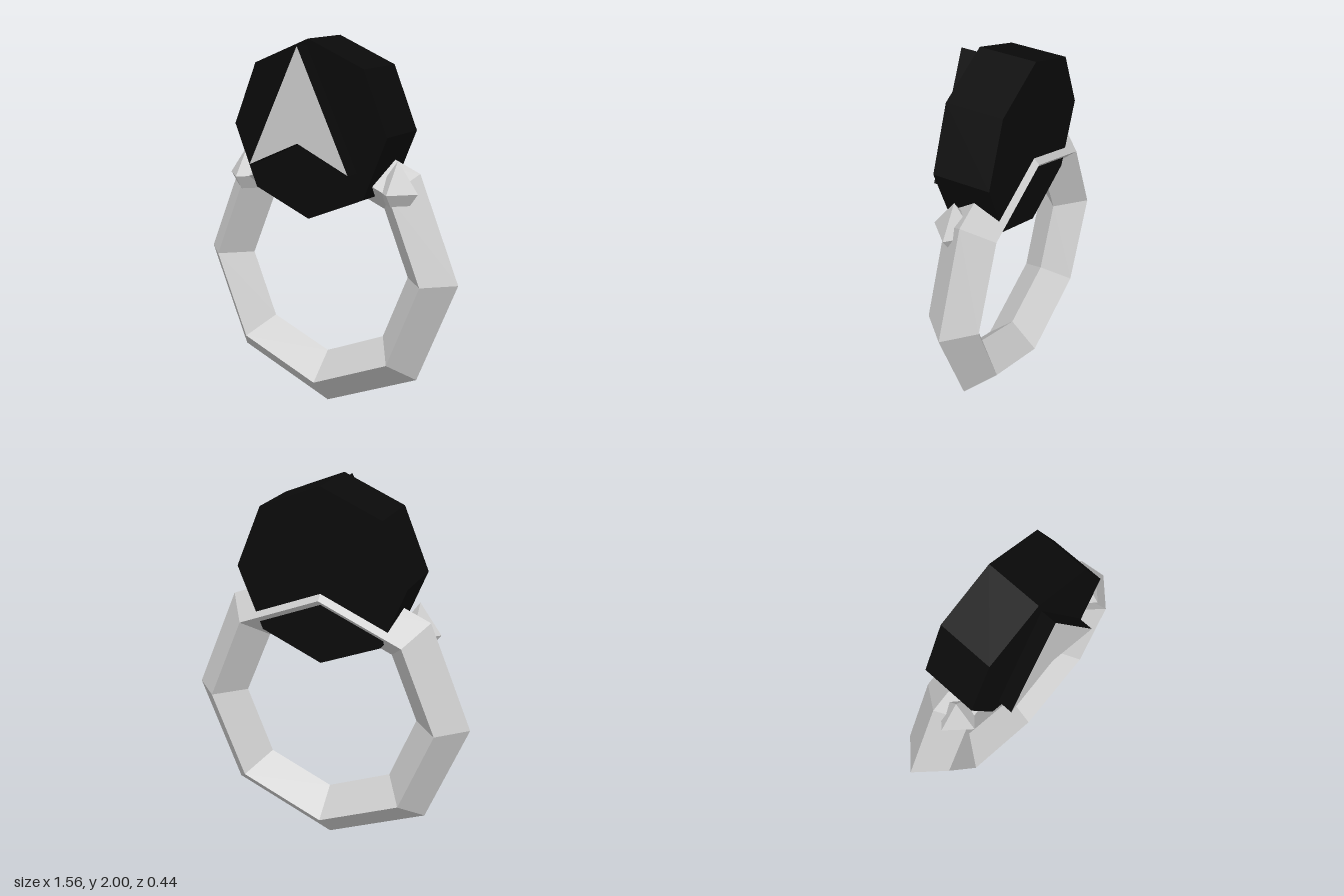
import * as THREE from 'three';

const grey = new THREE.MeshStandardMaterial({ color: 0xcccccc, flatShading: true });
const black = new THREE.MeshStandardMaterial({ color: 0x0a0a0a, flatShading: true });

export function createModel() {
  const model = new THREE.Group();
  const add = (name, geometry, material, x, y, z) => {
    const mesh = new THREE.Mesh(geometry, material);
    mesh.name = name;
    mesh.position.set(x, y, z);
    model.add(mesh);
    return mesh;
  };

  // Eight-segment band with a diamond cross-section
  add('band', new THREE.TorusGeometry(0.635, 0.145, 4, 8), grey, 0, 0.783, -0.075);

  // Octagonal face plate
  const plate = new THREE.CylinderGeometry(0.465, 0.465, 0.305, 8).rotateX(Math.PI / 2);
  add('facePlate', plate, black, 0, 1.535, -0.038);

  // Raised arrowhead: grey faces, black rim
  const arrow = new THREE.Shape([
    [0, 1.97], [-0.3, 1.345], [0, 1.48], [0.3, 1.345],
  ].map(([x, y]) => new THREE.Vector2(x, y)));
  add('arrowhead',
    new THREE.ExtrudeGeometry(arrow, { depth: 0.085, bevelEnabled: false }),
    [grey, black], 0, 0, 0.132);

  // Four-sided cut stones on the shoulders of the band
  const stone = new THREE.LatheGeometry([
    [0, -0.073], [0.065, -0.073], [0.117, 0], [0, 0.16],
  ].map(([r, y]) => new THREE.Vector2(r, y)), 4);
  for (const side of [-1, 1]) {
    add(side > 0 ? 'leftStone' : 'rightStone', stone, grey, side * 0.465, 1.245, 0.003);
  }

  return model;
}
